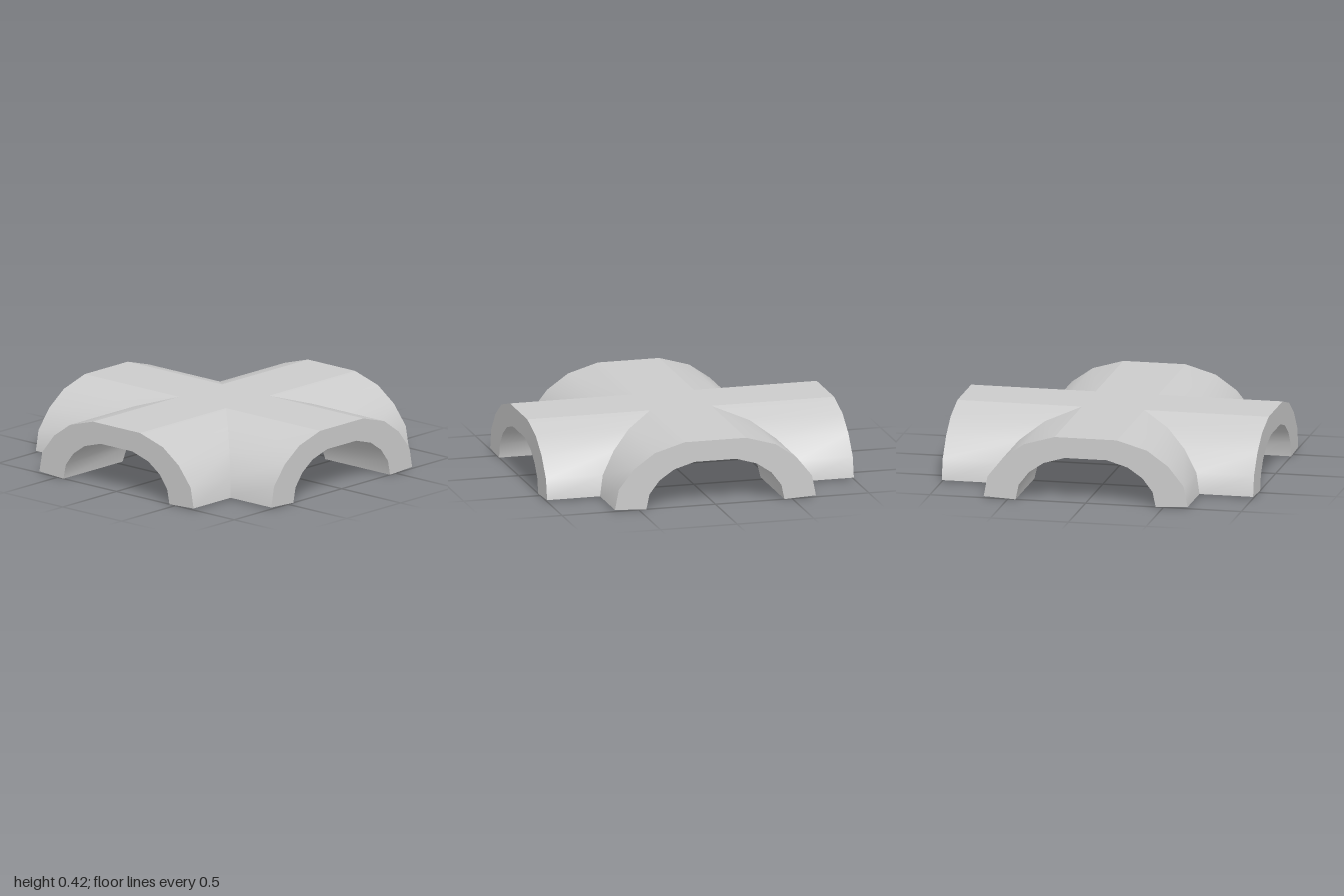
import * as THREE from 'three';
import { mergeGeometries } from 'three/addons/utils/BufferGeometryUtils.js';

// Half profiles of the vault, from the foot up to the edge of the flat crown
const OUTER = [[0.655, 0.01], [0.63, 0.14], [0.53, 0.265], [0.395, 0.36], [0.2, 0.417]];
const INNER = [[0.45, 0], [0.43, 0.095], [0.365, 0.18], [0.27, 0.245], [0.135, 0.285]];

const mirror = (pts) => pts.map(([x, y]) => [-x, y]).reverse();

// Smooth strip along z, from the diagonal mitre (z = |x|) to the open end (z = 1)
function strip(points) {
  const position = [], index = [];
  points.forEach(([x, y], i) => {
    position.push(x, y, Math.abs(x), x, y, 1);
    if (i > 0) {
      const a = 2 * i - 2, b = a + 1, c = a + 2, d = a + 3;
      index.push(a, c, b, c, d, b);
    }
  });
  const g = new THREE.BufferGeometry();
  g.setAttribute('position', new THREE.Float32BufferAttribute(position, 3));
  g.setIndex(index);
  g.computeVertexNormals();
  return g;
}

// Curved haunches on both sides with a flat crown that reaches the centre
function vault(half) {
  const [x, y] = half[half.length - 1];
  return [half, [[x, y], [0, y], [-x, y]], mirror(half)];
}

function armGeometry() {
  const outer = vault(OUTER);
  const inner = vault(INNER).map((s) => [...s].reverse()).reverse();
  const feet = [
    [mirror(OUTER)[4], mirror(INNER)[4]],
    [INNER[0], OUTER[0]],
  ];
  const parts = [...outer, ...inner, ...feet].map(strip);

  // Arch-shaped end face
  const loop = [...OUTER, ...mirror(OUTER), ...INNER.map(([x, y]) => [-x, y]), ...[...INNER].reverse()];
  const cap = new THREE.ShapeGeometry(new THREE.Shape(loop.map(([x, y]) => new THREE.Vector2(x, y))));
  cap.translate(0, 0, 1);
  cap.deleteAttribute('uv');
  return mergeGeometries([...parts, cap]);
}

export function createModel() {
  const group = new THREE.Group();
  group.name = 'crossVault';
  const material = new THREE.MeshStandardMaterial({ color: 0xcccccc });
  const geometry = armGeometry();

  // Four equal arms meeting along the diagonals
  ['frontArm', 'leftArm', 'backArm', 'rightArm'].forEach((name, i) => {
    const arm = new THREE.Mesh(geometry, material);
    arm.name = name;
    arm.rotation.y = i * Math.PI / 2;
    group.add(arm);
  });
  return group;
}
